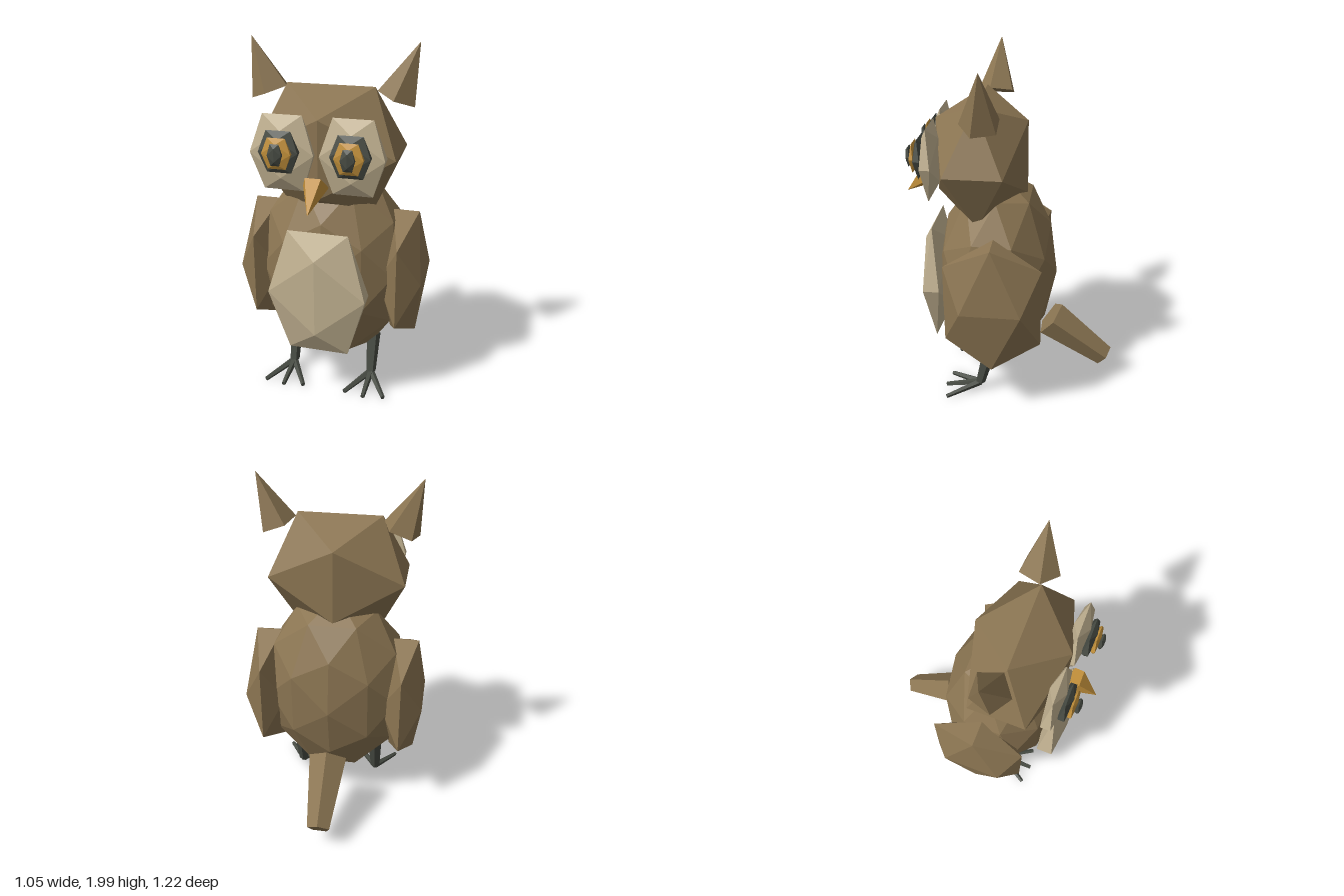
import * as THREE from 'three';

const mat = (name, color) => {
  const m = new THREE.MeshStandardMaterial({ color, flatShading: true });
  m.name = name;
  return m;
};

export function createModel() {
  const model = new THREE.Group();
  const brown = mat('brown feathers', 0x8b7552);
  const cream = mat('cream feathers', 0xc4b493);
  const dark = mat('dark grey', 0x484c44);
  const amber = mat('amber', 0xc6933c);

  const add = (name, geometry, material, pos) => {
    const mesh = new THREE.Mesh(geometry, material);
    mesh.name = name;
    mesh.position.set(...pos);
    model.add(mesh);
    return mesh;
  };

  // Faceted ellipsoid from an icosahedron
  const blob = (name, material, pos, radii, detail = 0) =>
    add(name, new THREE.IcosahedronGeometry(1, detail).scale(...radii), material, pos);

  // Five-sided tapered limb between two points
  const limb = (name, material, a, b, ra, rb) => {
    const from = new THREE.Vector3(...a), to = new THREE.Vector3(...b);
    const dir = to.clone().sub(from);
    const mid = from.clone().add(to).multiplyScalar(0.5);
    const mesh = add(name, new THREE.CylinderGeometry(rb, ra, dir.length(), 5), material, mid.toArray());
    mesh.quaternion.setFromUnitVectors(new THREE.Vector3(0, 1, 0), dir.normalize());
    return mesh;
  };

  // Torso, belly and head
  blob('body', brown, [0, 0.735, 0.09], [0.44, 0.595, 0.353], 1).rotation.x = -0.04;
  blob('belly', cream, [0, 0.685, 0.443], [0.317, 0.417, 0.088]);
  blob('head', brown, [0, 1.43, 0.17], [0.453, 0.4, 0.302]);

  // Beak, tilted forward and down
  const beak = add('beak', new THREE.ConeGeometry(0.072, 0.185, 5), amber, [0, 1.26, 0.54]);
  beak.rotation.x = 2.28;

  // Tail, sloping down and back
  const tail = add('tail', new THREE.CylinderGeometry(0.068, 0.115, 0.42, 5), brown, [0, 0.27, -0.402]);
  tail.rotation.x = -2.214;

  for (const [side, s] of [['left', 1], ['right', -1]]) {
    blob(side + 'Wing', brown, [s * 0.405, 0.7, 0.07], [0.141, 0.437, 0.317]);

    // Ear tuft, leaning outwards
    const ear = add(side + 'EarTuft', new THREE.ConeGeometry(0.111, 0.31, 5), brown, [s * 0.4, 1.855, 0.12]);
    ear.rotation.set(-0.04, 0, -s * 0.36);

    // Eye in stacked layers
    blob(side + 'EyeDisc', cream, [s * 0.185, 1.46, 0.422], [0.2, 0.235, 0.053]);
    blob(side + 'EyeRim', dark, [s * 0.187, 1.48, 0.48], [0.123, 0.129, 0.033]);
    blob(side + 'Iris', amber, [s * 0.187, 1.48, 0.514], [0.09, 0.095, 0.02]);
    blob(side + 'Pupil', dark, [s * 0.187, 1.48, 0.54], [0.044, 0.066, 0.019]);

    // Leg and three toes
    const x = s * 0.24;
    limb(side + 'Leg', dark, [x, 0.29, 0.115], [x, 0.06, 0.172], 0.043, 0.03);
    for (const [tx, tz] of [[-0.115, 0.36], [0, 0.38], [0.115, 0.36]]) {
      limb(side + 'Toe', dark, [x, 0.055, 0.17], [x + tx, 0.018, tz], 0.021, 0.013);
    }
  }
  return model;
}
